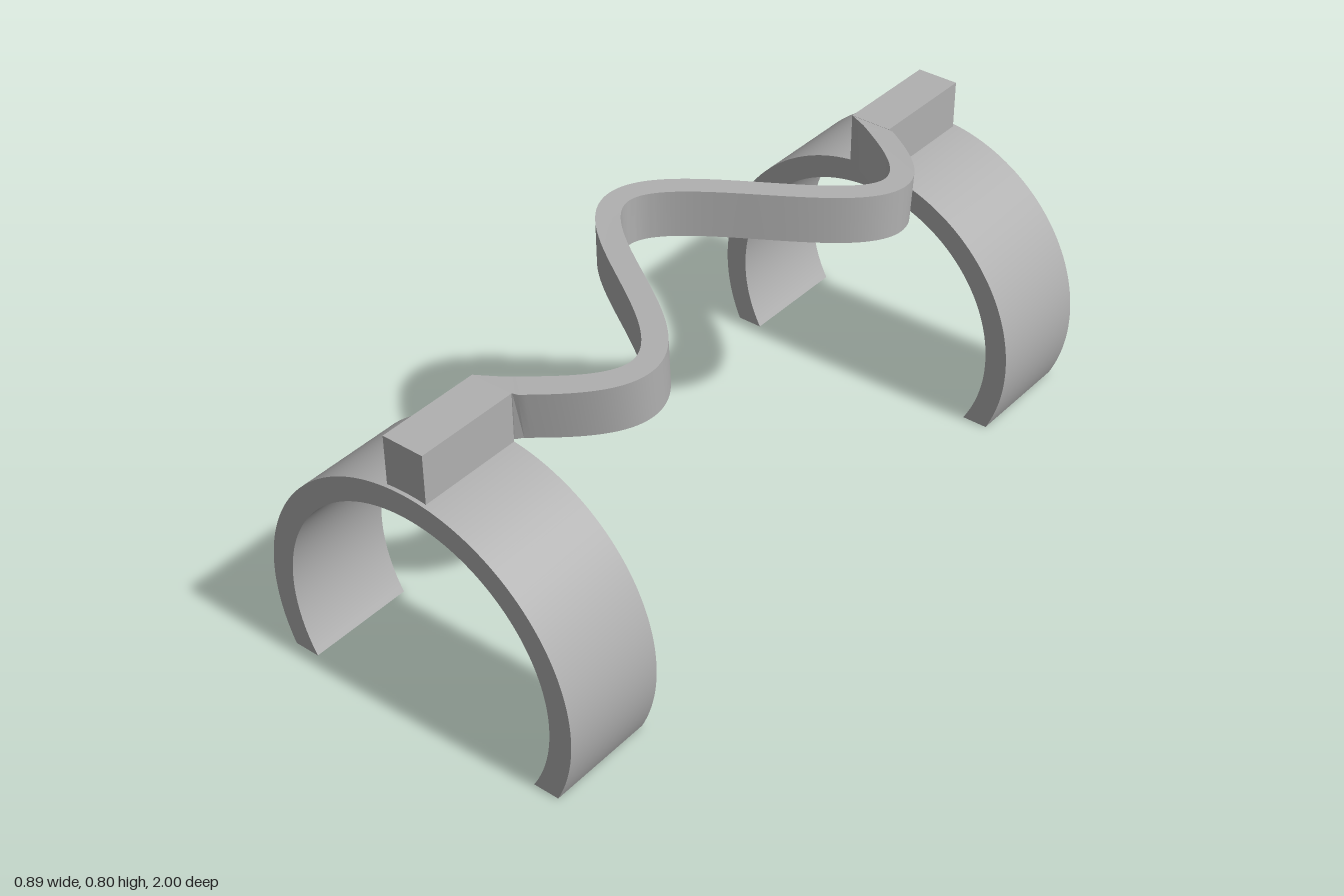
import * as THREE from 'three';
import { toCreasedNormals } from 'three/addons/utils/BufferGeometryUtils.js';

const BACK = -0.69, FRONT = 0.714;        // inner faces of the two clips
const MID = (BACK + FRONT) / 2, HALF = (FRONT - BACK) / 2;

// Open ring clip, cut flat at the ground
function clipGeometry(depth) {
  const cy = 0.194, ro = 0.446, ri = 0.385;
  const ao = Math.asin(cy / ro), ai = Math.asin(cy / ri);
  const shape = new THREE.Shape();
  shape.absarc(0, cy, ro, -ao, Math.PI + ao, false);
  shape.absarc(0, cy, ri, Math.PI + ai, -ai, true);
  shape.closePath();
  const geo = new THREE.ExtrudeGeometry(shape, { depth, bevelEnabled: false, curveSegments: 72 });
  return toCreasedNormals(geo, 0.5);
}

// Wavy strip: three half waves in plan, bowed upwards along its length
function springGeometry() {
  const n = 160, amp = 0.229, halfWidth = 0.0295, halfHeight = 0.0615;
  const k = 1.5 * Math.PI / HALF;
  const corners = [[1, 1], [-1, 1], [-1, -1], [1, -1]];
  const pos = [], idx = [];
  for (let i = 0; i <= n; i++) {
    const z0 = BACK + (2 * HALF * i) / n;
    const x0 = amp * Math.sin(k * (z0 - BACK));
    const m = amp * k * Math.cos(k * (z0 - BACK));
    const len = Math.hypot(1, m);
    const isEnd = i === 0 || i === n;
    for (const [s, h] of corners) {
      let x = x0 + (s * halfWidth) / len, z = z0 - (s * halfWidth * m) / len;
      // trim both ends square against the clips
      const end = isEnd ? z0 : THREE.MathUtils.clamp(z, BACK, FRONT);
      x += m * (end - z);
      z = end;
      const u = (z - MID) / HALF;
      const lean = isEnd || Math.abs(u) > 0.985 ? 0 : h * halfHeight * 0.111 * u;
      pos.push(x, 0.703 + 0.039 * (1 - u * u) + h * halfHeight, z + lean);
    }
    if (i === n) continue;
    for (let c = 0; c < 4; c++) {
      const a = i * 4 + c, b = i * 4 + (c + 1) % 4;
      idx.push(a, b, b + 4, a, b + 4, a + 4);
    }
  }
  // end caps
  const e = n * 4;
  idx.push(0, 2, 1, 0, 3, 2, e, e + 1, e + 2, e, e + 2, e + 3);
  const geo = new THREE.BufferGeometry();
  geo.setAttribute('position', new THREE.Float32BufferAttribute(pos, 3));
  geo.setIndex(idx);
  return toCreasedNormals(geo, 0.6);
}

export function createModel() {
  const group = new THREE.Group();
  const grey = new THREE.MeshStandardMaterial({ color: 0xb0b0b0 });
  grey.name = 'grey';
  const add = (name, geo, x = 0, y = 0, z = 0) => {
    const mesh = new THREE.Mesh(geo, grey);
    mesh.name = name;
    mesh.position.set(x, y, z);
    group.add(mesh);
  };

  // Clips, each with a mounting block on top
  for (const [side, z0, z1, b0, b1] of [
    ['front', FRONT, 1, FRONT, 0.99],
    ['back', -1, BACK, -0.99, BACK],
  ]) {
    add(side + 'Clip', clipGeometry(z1 - z0), 0, 0, z0);
    add(side + 'Block', new THREE.BoxGeometry(0.112, 0.135, b1 - b0), 0, 0.6975, (b0 + b1) / 2);
  }

  add('wavySpring', springGeometry());
  return group;
}
